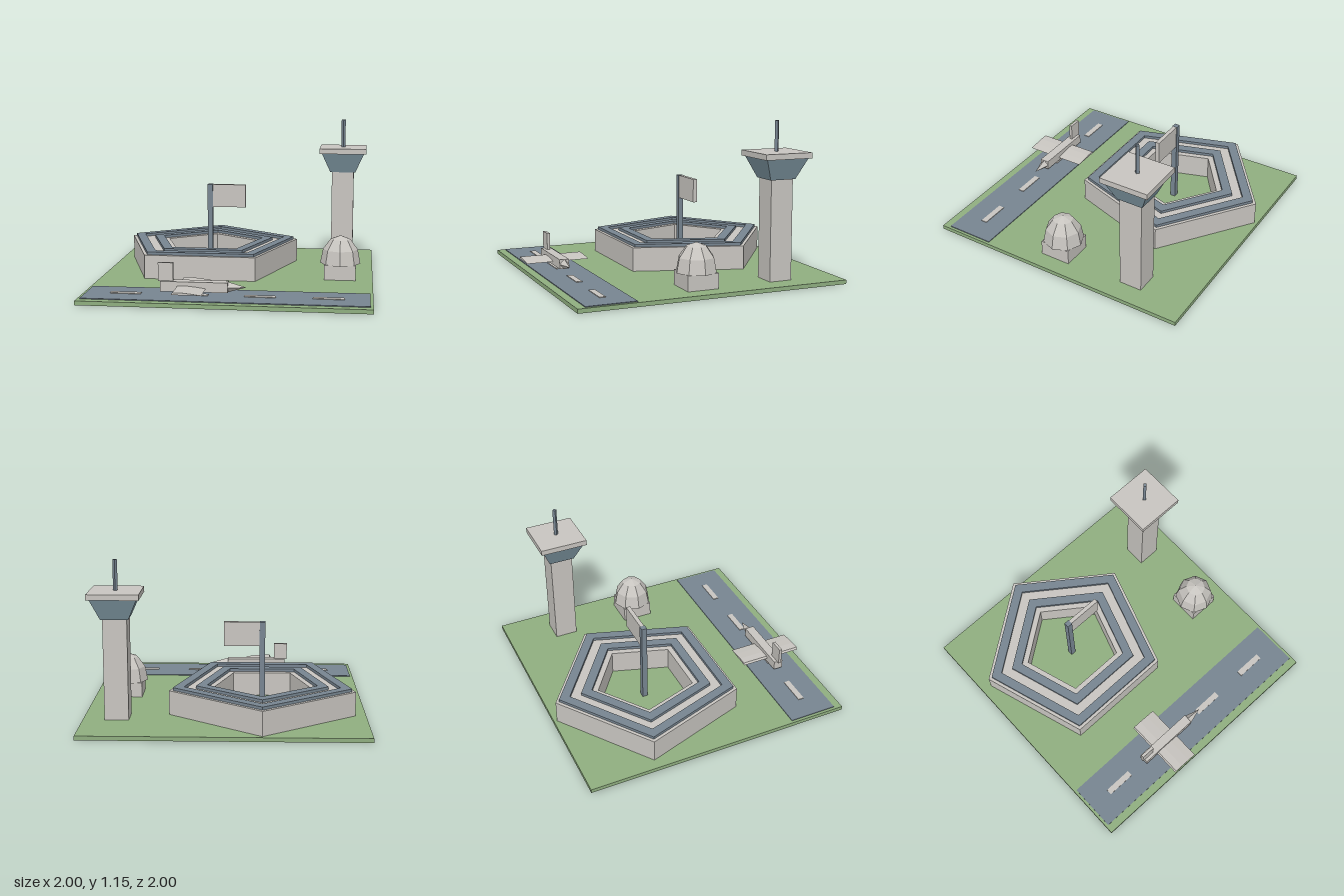
import * as THREE from 'three';

const material = (name, color) => {
  const m = new THREE.MeshStandardMaterial({ color });
  m.name = name;
  return m;
};

export function createModel() {
  const grass = material('grass', 0x8fae80);
  const concrete = material('concrete', 0xc8c5c0);
  const slate = material('slate', 0x778591);
  const glass = material('glass', 0x839ca8);

  const model = new THREE.Group();
  model.name = 'airbase';

  const group = (name, x = 0, z = 0) => {
    const g = new THREE.Group();
    g.name = name;
    g.position.set(x, 0, z);
    model.add(g);
    return g;
  };
  const add = (parent, name, geometry, mat) => {
    // split vertices so every facet is flat
    const flat = geometry.index ? geometry.toNonIndexed() : geometry;
    flat.computeVertexNormals();
    const mesh = new THREE.Mesh(flat, mat);
    mesh.name = name;
    parent.add(mesh);
    return mesh;
  };
  // box given by its extents on each axis
  const block = (parent, name, mat, [x0, x1], [y0, y1], [z0, z1]) =>
    add(parent, name, new THREE.BoxGeometry(x1 - x0, y1 - y0, z1 - z0)
      .translate((x0 + x1) / 2, (y0 + y1) / 2, (z0 + z1) / 2), mat);

  // ground and runway
  block(model, 'ground', grass, [-1, 1], [0, 0.03], [-1, 1]);
  const runway = group('runway', 0, 0.762);
  block(runway, 'runwayStrip', slate, [-0.98, 0.98], [0.03, 0.036], [-0.18, 0.18]);
  for (const x of [-0.7, -0.233, 0.233, 0.7]) {
    block(runway, 'centreDash', concrete, [x - 0.108, x + 0.108], [0.036, 0.041], [-0.022, 0.022]);
  }

  // five-sided ring building with two raised roof bands
  const pentagon = (path, r) => path.setFromPoints(
    [0, 1, 2, 3, 4].map((i) => {
      const a = Math.PI / 2 + (i * Math.PI * 2) / 5;
      return new THREE.Vector2(r * Math.cos(a), r * Math.sin(a));
    }));
  const ring = (outer, inner, y0, y1) => {
    const shape = pentagon(new THREE.Shape(), outer);
    shape.holes.push(pentagon(new THREE.Path(), inner));
    return new THREE.ExtrudeGeometry(shape, { depth: y1 - y0, bevelEnabled: false })
      .rotateX(-Math.PI / 2).translate(0, y0, 0);
  };
  const building = group('ringBuilding', -0.26, -0.28);
  add(building, 'walls', ring(0.697, 0.365, 0.03, 0.205), concrete);
  add(building, 'outerRoofBand', ring(0.669, 0.586, 0.205, 0.226), slate);
  add(building, 'innerRoofBand', ring(0.498, 0.415, 0.205, 0.226), slate);

  // flag in the courtyard
  const flag = group('flag', -0.26, -0.28);
  block(flag, 'flagpole', slate, [-0.02, 0.02], [0.03, 0.665], [-0.02, 0.02]);
  block(flag, 'banner', concrete, [0.02, 0.277], [0.488, 0.664], [-0.015, 0.015]);

  // control tower
  const tower = group('controlTower', 0.76, -0.555);
  block(tower, 'shaft', concrete, [-0.085, 0.085], [0.03, 0.75], [-0.085, 0.085]);
  add(tower, 'cab', new THREE.CylinderGeometry(0.162 * Math.SQRT2, 0.097 * Math.SQRT2, 0.15, 4)
    .rotateY(Math.PI / 4).translate(0, 0.825, 0), glass);
  block(tower, 'roof', concrete, [-0.18, 0.18], [0.9, 0.94], [-0.18, 0.18]);
  add(tower, 'antenna', new THREE.CylinderGeometry(0.016, 0.016, 0.215, 4)
    .translate(0, 1.0475, 0), slate);

  // radar dome on its plinth
  const dome = group('radarDome', 0.76, 0.06);
  block(dome, 'plinth', concrete, [-0.115, 0.115], [0.03, 0.14], [-0.115, 0.115]);
  add(dome, 'dome', new THREE.SphereGeometry(0.148, 8, 3, 0, Math.PI * 2, 0, Math.PI / 2)
    .scale(1, 1.4, 1).translate(0, 0.137, 0), concrete);
  add(dome, 'domeFloor', new THREE.CircleGeometry(0.148, 8)
    .rotateX(Math.PI / 2).translate(0, 0.137, 0), concrete);

  // aircraft above the runway, nose towards +x
  const plane = group('aircraft', 0, 0.765);
  block(plane, 'fuselage', concrete, [-0.45, 0.015], [0.064, 0.134], [-0.035, 0.035]);
  add(plane, 'nose', new THREE.ConeGeometry(0.036, 0.125, 4)
    .rotateZ(-Math.PI / 2).translate(0.0775, 0.099, 0), concrete);
  const section = new THREE.Shape([
    [-0.34, 0.09], [-0.135, 0.09], [-0.2, 0.099], [-0.27, 0.106], [-0.33, 0.106],
  ].map(([x, y]) => new THREE.Vector2(x, y)));
  add(plane, 'wing', new THREE.ExtrudeGeometry(section, { depth: 0.47, bevelEnabled: false })
    .translate(0, 0, -0.235), concrete);
  block(plane, 'tailFin', concrete, [-0.47, -0.365], [0.13, 0.26], [-0.011, 0.011]);

  return model;
}
